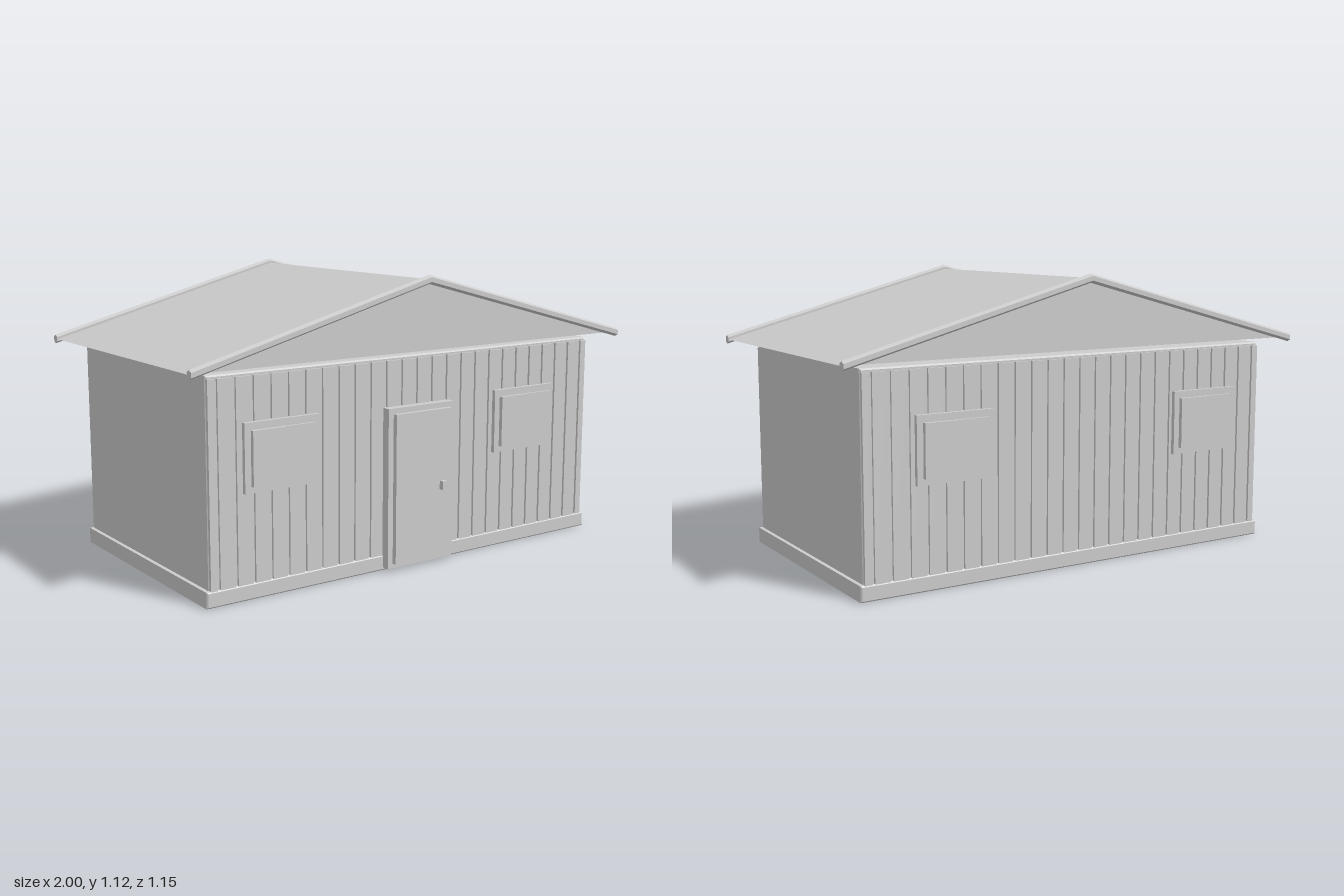
import * as THREE from 'three';

export function createModel() {
  const model = new THREE.Group();
  model.name = 'cabin';
  const grey = new THREE.MeshStandardMaterial({ color: 0xcccccc });
  grey.name = 'light grey';

  function add(geometry, name, parent = model) {
    const mesh = new THREE.Mesh(geometry, grey);
    mesh.name = name;
    parent.add(mesh);
    return mesh;
  }

  // Plain box given by its limits
  function box(name, x0, x1, y0, y1, z0, z1, parent) {
    const mesh = add(new THREE.BoxGeometry(x1 - x0, y1 - y0, z1 - z0), name, parent);
    mesh.position.set((x0 + x1) / 2, (y0 + y1) / 2, (z0 + z1) / 2);
    return mesh;
  }

  // Box with small chamfered edges, centred on x and z
  function chamferBox(name, w, y0, y1, d, c) {
    const x = w / 2 - c, y = (y1 - y0) / 2 - c;
    const shape = new THREE.Shape([
      new THREE.Vector2(-x, -y), new THREE.Vector2(x, -y),
      new THREE.Vector2(x, y), new THREE.Vector2(-x, y),
    ]);
    const geometry = new THREE.ExtrudeGeometry(shape, {
      depth: d - 2 * c, bevelEnabled: true, bevelSize: c, bevelThickness: c, bevelSegments: 1,
    });
    geometry.translate(0, (y0 + y1) / 2, -(d / 2 - c));
    return add(geometry, name);
  }

  // Base and wall body
  chamferBox('base', 1.83, 0, 0.06, 0.99, 0.005);
  chamferBox('wallBody', 1.8, 0.05, 0.815, 0.966, 0.006);

  // Vertical boards with narrow grooves, on the front and the back
  const pitch = 0.072, gap = 0.011;
  function siding(side) {
    const group = new THREE.Group();
    group.name = side + 'Siding';
    for (let i = -13; i < 13; i++) {
      const x0 = Math.max(i * pitch + gap / 2, -0.897);
      const x1 = Math.min((i + 1) * pitch - gap / 2, 0.897);
      box('board', x0, x1, 0.055, 0.802, 0.478, 0.492, group);
    }
    if (side === 'back') group.rotation.y = Math.PI;
    model.add(group);
  }
  siding('front');
  siding('back');

  // Window: frame and two sliding panes
  function makeWindow(x, side) {
    const group = new THREE.Group();
    group.name = side + 'Window';
    box('windowFrame', -0.157, 0.157, 0.39, 0.642, 0.485, 0.508, group);
    box('outerPane', -0.132, 0.004, 0.415, 0.615, 0.5, 0.524, group);
    box('innerPane', -0.004, 0.132, 0.415, 0.615, 0.5, 0.518, group);
    group.position.x = x;
    if (side === 'back') group.rotation.y = Math.PI;
    model.add(group);
  }
  for (const side of ['front', 'back']) {
    makeWindow(-0.607, side);
    makeWindow(0.541, side);
  }

  // Door
  box('doorFrame', -0.157, 0.155, 0.012, 0.628, 0.485, 0.526);
  box('door', -0.134, 0.132, 0.03, 0.607, 0.515, 0.545);
  box('doorHandle', 0.076, 0.098, 0.294, 0.328, 0.54, 0.564);

  // Solid roof prism
  const ridge = 1.102, eave = 0.837, roofHalf = 0.55;
  const gable = new THREE.Shape([
    new THREE.Vector2(-0.998, eave), new THREE.Vector2(0.998, eave), new THREE.Vector2(0, ridge),
  ]);
  const roof = new THREE.ExtrudeGeometry(gable, { depth: 2 * roofHalf, bevelEnabled: false });
  roof.translate(0, 0, -roofHalf);
  add(roof, 'roof');

  // Hexagonal edge trims that follow the slope, with upright ends
  const hexagon = new THREE.Shape();
  for (let i = 0; i < 6; i++) {
    const a = Math.PI / 6 + (i * Math.PI) / 3;
    const px = 0.0175 * Math.cos(a), py = 0.0175 * Math.sin(a);
    if (i) hexagon.lineTo(px, py); else hexagon.moveTo(px, py);
  }
  const trim = new THREE.ExtrudeGeometry(hexagon, { depth: 1, bevelEnabled: false });
  trim.rotateY(Math.PI / 2);
  const pos = trim.attributes.position;
  for (let i = 0; i < pos.count; i++) {
    pos.setY(i, pos.getY(i) + ridge - (ridge - eave) * pos.getX(i));
  }
  trim.computeVertexNormals();
  for (const z of [0.56, -0.56]) {
    for (const turn of [0, Math.PI]) {
      const mesh = add(trim, 'roofTrim');
      mesh.position.z = z;
      mesh.rotation.y = turn;
    }
  }
  return model;
}
